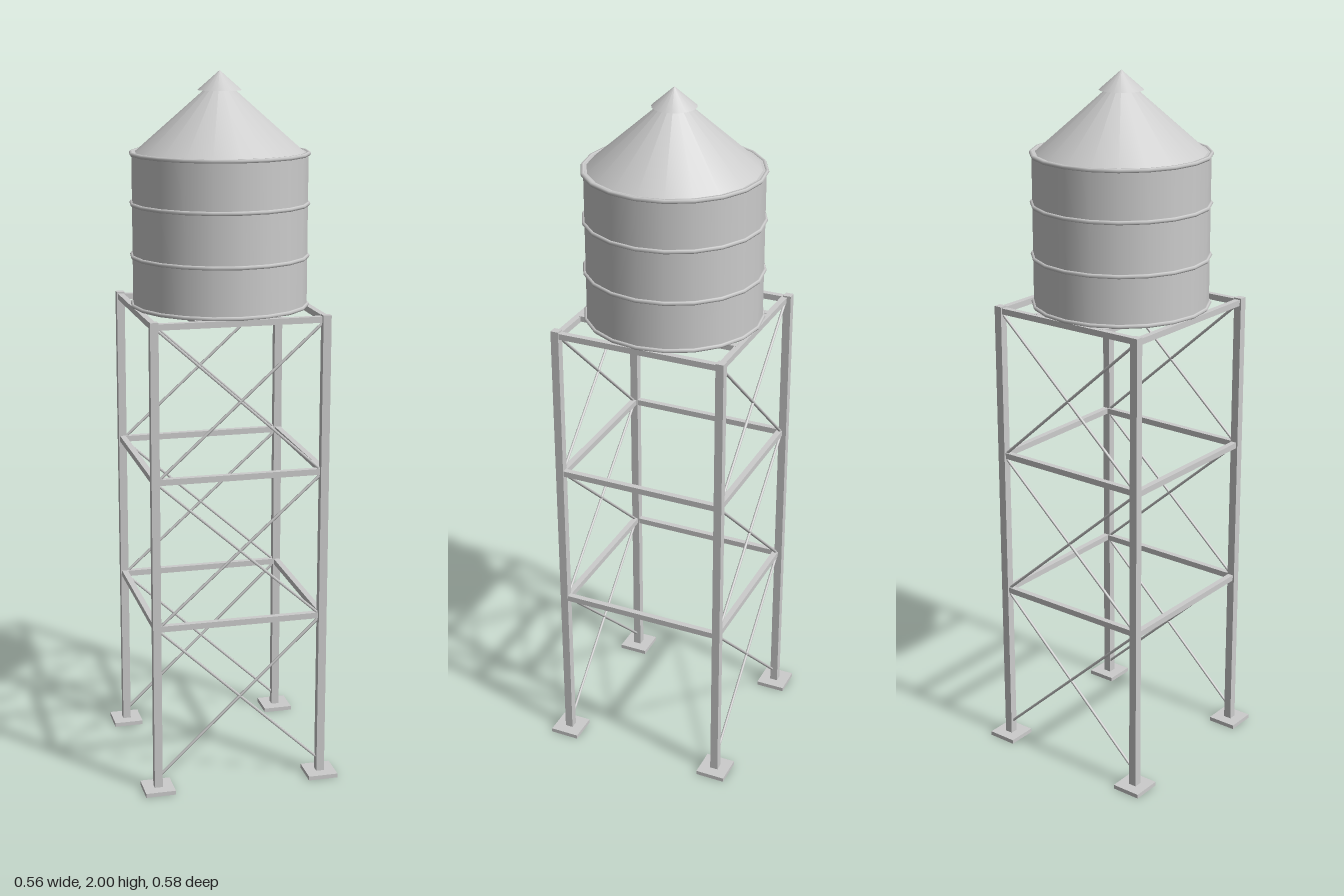
import * as THREE from 'three';

export function createModel() {
  const model = new THREE.Group();
  const grey = new THREE.MeshStandardMaterial({ color: 0xcccccc });
  const SIDES = 20;

  const add = (name, geometry, x = 0, y = 0, z = 0) => {
    const mesh = new THREE.Mesh(geometry, grey);
    mesh.name = name;
    mesh.position.set(x, y, z);
    model.add(mesh);
    return mesh;
  };
  const box = (name, w, h, d, x, y, z) => add(name, new THREE.BoxGeometry(w, h, d), x, y, z);

  // Thin round rod between two points
  const rod = (name, a, b, radius) => {
    const dir = b.clone().sub(a);
    const mesh = add(name, new THREE.CylinderGeometry(radius, radius, dir.length(), 6));
    mesh.position.copy(a).add(b).multiplyScalar(0.5);
    mesh.quaternion.setFromUnitVectors(new THREE.Vector3(0, 1, 0), dir.normalize());
  };

  // Legs on square foot plates, each a touch out of line
  const corners = [[-0.239, -0.247], [0.239, -0.24], [-0.24, 0.237], [0.238, 0.245]];
  for (const [x, z] of corners) {
    box('footPlate', 0.086, 0.012, 0.086, x, 0.006, z);
    box('leg', 0.023, 1.348, 0.023, x, 0.684, z);
  }

  // Horizontal beams tying the legs together on three levels
  for (const y of [0.49, 0.915, 1.345]) {
    for (const s of [-1, 1]) {
      box('crossBeam', 0.475, 0.017, 0.017, 0, y, s * 0.238);
      box('sideBeam', 0.017, 0.017, 0.475, s * 0.239, y, 0);
    }
  }

  // Crossed tie rods on the front and back
  for (const [low, high] of [[0.05, 0.48], [0.495, 0.905], [0.92, 1.335]]) {
    for (const z of [-0.24, 0.24]) {
      for (const s of [-1, 1]) {
        rod('tieRod', new THREE.Vector3(-s * 0.23, low, z), new THREE.Vector3(s * 0.23, high, z), 0.0042);
      }
    }
  }

  // Joists carrying the tank
  for (const s of [-1, 1]) box('joist', 0.018, 0.016, 0.47, s * 0.114, 1.346, 0);

  // Tank body with its hoops
  add('tank', new THREE.CylinderGeometry(0.245, 0.245, 0.425, SIDES), 0, 1.5675, 0);
  for (const y of [1.358, 1.495, 1.64, 1.777]) {
    const hoop = add('hoop', new THREE.TorusGeometry(0.246, 0.006, 6, SIDES), 0, y, 0);
    hoop.rotation.x = Math.PI / 2;
    hoop.rotation.z = Math.PI / 2;
  }

  // Conical roof and its cap
  add('roof', new THREE.ConeGeometry(0.235, 0.205, SIDES), 0, 1.8825, 0);
  add('roofCap', new THREE.ConeGeometry(0.061, 0.053, SIDES), 0, 1.9735, 0);

  return model;
}
